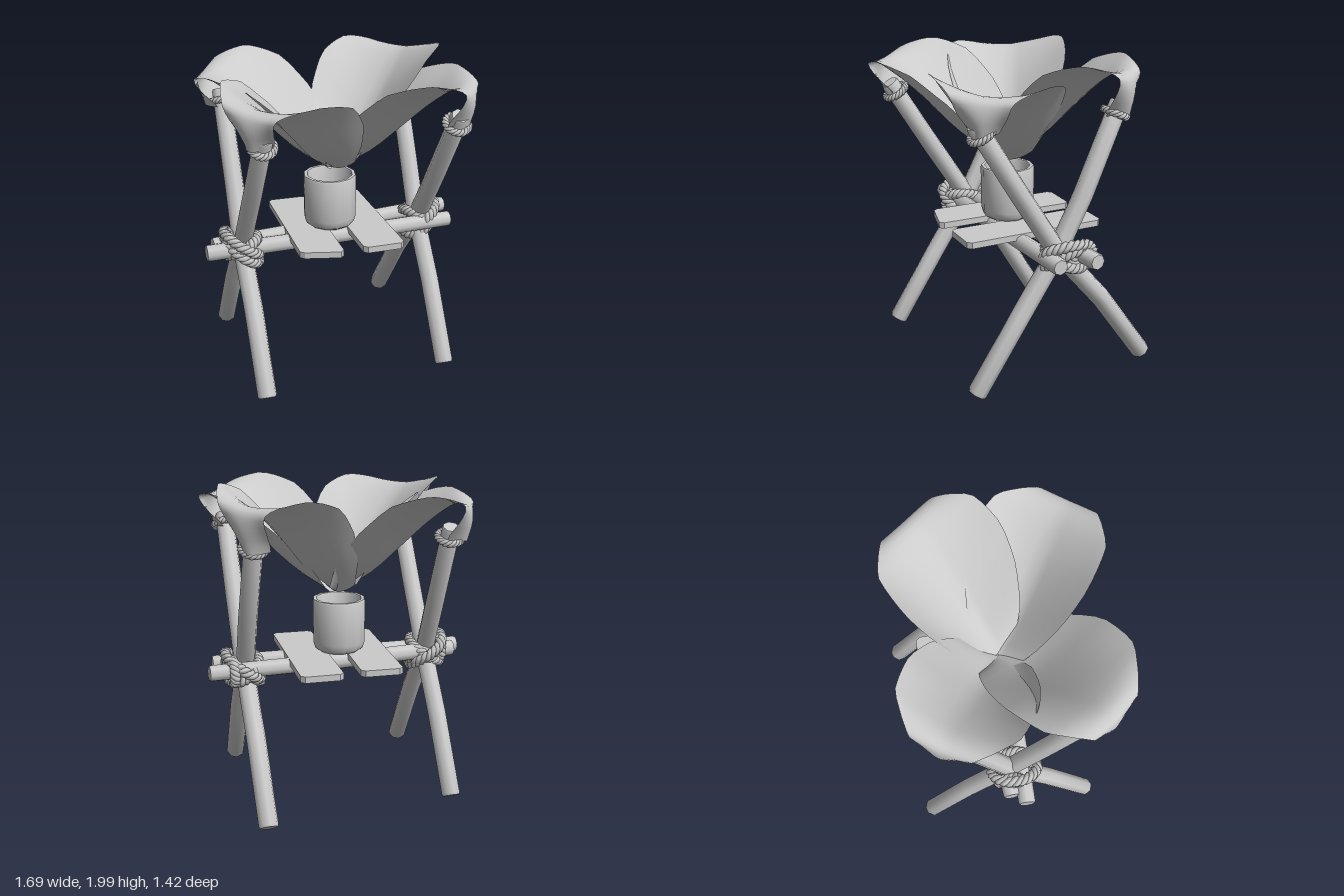
import * as THREE from 'three';
import { toCreasedNormals } from 'three/addons/utils/BufferGeometryUtils.js';

const V = (x, y, z) => new THREE.Vector3(x, y, z);
const grey = new THREE.MeshStandardMaterial({ color: 0xcccccc });
const thin = new THREE.MeshStandardMaterial({ color: 0xcccccc, side: THREE.DoubleSide });

// Skin a list of cross-sections (rows of points)
function loft(rows) {
  const n = rows[0].length, idx = [];
  for (let i = 0; i < rows.length - 1; i++) {
    for (let j = 0; j < n - 1; j++) {
      const a = i * n + j, c = a + n;
      idx.push(a, a + 1, c, a + 1, c + 1, c);
    }
  }
  const g = new THREE.BufferGeometry().setFromPoints(rows.flat());
  g.setIndex(idx);
  g.computeVertexNormals();
  return g;
}

export function createModel() {
  const model = new THREE.Group();
  const add = (name, geometry, material = grey, parent = model) => {
    const m = new THREE.Mesh(geometry, material);
    m.name = name;
    parent.add(m);
    return m;
  };

  // Eight-sided bent pole with chamfered, closed ends
  function pole(name, pts, radius, side) {
    const n = 8, last = pts.length - 1, rows = [];
    const ring = (i, r, shift = 0) => {
      const t = pts[Math.min(i + 1, last)].clone().sub(pts[Math.max(i - 1, 0)]).normalize();
      const u = side.clone().addScaledVector(t, -side.dot(t)).normalize();
      const v = t.clone().cross(u);
      const c = pts[i].clone().addScaledVector(t, shift);
      rows.push(Array.from({ length: n + 1 }, (_, j) => {
        const a = (j / n) * Math.PI * 2;
        return c.clone().addScaledVector(u, r * Math.cos(a)).addScaledVector(v, r * Math.sin(a));
      }));
    };
    ring(0, 0);
    ring(0, radius * 0.9);
    ring(0, radius, 0.015);
    for (let i = 1; i < last; i++) ring(i, radius);
    ring(last, radius * 0.96, -0.015);
    ring(last, radius * 0.86);
    ring(last, 0);
    add(name, toCreasedNormals(loft(rows), 0.9));
  }

  // Closed ring of three twisted strands around the ellipse c + a*u, b*v
  function ropeRing(name, c, u, v, a, b, thick, turns) {
    const g = new THREE.Group();
    g.name = name;
    model.add(g);
    const w = u.clone().cross(v).normalize();
    for (let k = 0; k < 3; k++) {
      const pts = [];
      for (let i = 0; i < 90; i++) {
        const th = (i / 90) * Math.PI * 2, ph = turns * th + (k * Math.PI * 2) / 3;
        const cs = Math.cos(th), sn = Math.sin(th), e = thick * Math.cos(ph);
        pts.push(c.clone().addScaledVector(u, (a + e) * cs).addScaledVector(v, (b + e) * sn)
          .addScaledVector(w, thick * Math.sin(ph)));
      }
      add('strand', new THREE.TubeGeometry(new THREE.CatmullRomCurve3(pts, true), 110, thick, 5, true), grey, g);
    }
  }

  // Crossed legs on both sides, with a rope tie near each top
  const X = V(1, 0, 0);
  for (const s of [-1, 1]) {
    const x = 0.6 * s, foot = s > 0 ? -0.66 : -0.56;
    const toFront = [V(x, 0.045, foot), V(x, 0.5, foot * 0.5), V(x, 0.88, 0), V(x, 1.25, 0.24), V(x, 1.72, 0.535)];
    const toBack = [V(x + (s > 0 ? -0.025 : -0.02), 0.04, 0.53), V(x - 0.01, 0.5, 0.235), V(x - 0.01, 0.86, -0.01),
      V(x, 1.2, -0.18), V(x, 1.74, -0.42)];
    pole('frontTopLeg', toFront, 0.061, X);
    pole('backTopLeg', toBack, 0.061, X);
    for (const p of [toFront, toBack]) {
      const t = p[4].clone().sub(p[3]).normalize();
      const c = p[4].clone().addScaledVector(t, -0.075);
      ropeRing('topTie', c, X, t.clone().cross(X), 0.071, 0.071, 0.012, 6);
    }

    // Lashing: slanted rings around the crossing of legs and beams
    const cz = s > 0 ? -0.05 : 0.01, c = V(0.615 * s, 0.85, cz);
    const lash = (off, slope, zTilt, a, b) => ropeRing('lashing', c.clone().add(off),
      V(s, slope, 0).normalize(), V(0, zTilt, 1).normalize(), a, b, 0.018, 8);
    lash(V(0, 0.015, 0), 0.7, 0.05, 0.13, 0.145);
    lash(V(0, -0.025, 0), 0.7, -0.2, 0.125, 0.135);
    lash(V(0, -0.005, 0), -0.55, 0.25, 0.11, 0.125);
    ropeRing('beamLashing', V(0.69 * s, 0.855, s > 0 ? -0.13 : -0.03), V(0, 1, 0), V(0, 0, 1), 0.07, 0.07, 0.017, 6);
  }

  // Two horizontal beams
  pole('frontBeam', [V(-0.85, 0.845, 0.055), V(0, 0.845, 0.07), V(0.785, 0.85, 0.08)], 0.054, V(0, 1, 0));
  pole('backBeam', [V(-0.79, 0.85, -0.03), V(0, 0.848, -0.085), V(0.84, 0.86, -0.14)], 0.054, V(0, 1, 0));

  // Two shelf planks with clipped corners, the front edge cut at a slight skew
  function plank(x, z, length, yaw, skew) {
    const w = 0.132, l = length / 2, k = 0.025;
    const shape = new THREE.Shape([[-w + k, -l + skew], [w - k, -l], [w, -l + k], [w, l - k], [w - k, l], [-w + k, l],
      [-w, l - k], [-w, -l + skew + k]].map(p => new THREE.Vector2(...p)));
    const g = new THREE.ExtrudeGeometry(shape, { depth: 0.04, bevelEnabled: false });
    g.rotateX(-Math.PI / 2);
    const m = add('plank', g);
    m.position.set(x, 0.865, z);
    m.rotation.y = yaw;
  }
  plank(-0.185, -0.03, 0.92, -0.06, 0.05);
  plank(0.2, -0.03, 0.93, -0.04, 0);

  // Open bucket
  const profile = [[0, 0], [0.13, 0], [0.155, 0.018], [0.168, 0.06], [0.17, 0.325], [0.165, 0.338], [0.145, 0.338],
    [0.14, 0.325], [0.135, 0.05], [0, 0.05]].map(p => new THREE.Vector2(...p));
  add('bucket', toCreasedNormals(new THREE.LatheGeometry(profile, 12), 0.7), thin).position.set(-0.02, 0.905, -0.01);

  // Leaves: trough rising outward, folded over the leg top and gathered at the tie
  const rib = [], rim = [];
  // radius, rib height, half width, rim height
  for (const [r, y, w, e] of [
    [0.005, 1.285, 0.16, 1.35], [0.07, 1.32, 0.24, 1.50], [0.24, 1.42, 0.34, 1.71], [0.45, 1.61, 0.385, 1.88],
    [0.65, 1.79, 0.365, 1.935], [0.79, 1.875, 0.26, 1.915], [0.87, 1.86, 0.18, 1.87], [0.89, 1.77, 0.14, 1.77],
    [0.86, 1.65, 0.085, 1.66]]) {
    rib.push(V(r, y, 0));
    rim.push(V(w, e, 0));
  }
  const ribCurve = new THREE.CatmullRomCurve3(rib), rimCurve = new THREE.CatmullRomCurve3(rim);
  function leaf(name, tipX, tipZ, lift, sway) {
    const L = Math.hypot(tipX, tipZ), dx = tipX / L, dz = tipZ / L, rows = [];
    for (let i = 0; i <= 24; i++) {
      const t = i / 24, a = ribCurve.getPoint(t), b = rimCurve.getPoint(t), row = [];
      const wrap = 0.11 * THREE.MathUtils.smoothstep(t, 0.72, 1), swell = Math.sin(Math.PI * t);
      for (let j = -6; j <= 6; j++) {
        const u = j / 6, k = Math.abs(u);
        // One flank lies inside its neighbour, the other spreads beneath the next leaf
        const bend = u > 0 ? 1.1 : 2, spread = 1 - 0.07 * Math.sign(u) * swell;
        const r = a.x * (L / 0.87) - wrap * k * k, s = b.x * u * spread + sway * swell;
        const y = THREE.MathUtils.lerp(a.y, b.y, k ** bend) + (lift + 0.02 * u) * swell;
        row.push(V(dx * r - dz * s, y, dz * r + dx * s));
      }
      rows.push(row);
    }
    add(name, loft(rows), thin);
  }
  leaf('frontRightLeaf', -0.69, 0.54, 0, 0);
  leaf('frontLeftLeaf', 0.67, 0.54, 0, 0);
  leaf('backRightLeaf', -0.71, -0.43, 0, 0);
  leaf('backLeftLeaf', 0.66, -0.46, 0.045, 0.05);

  return model;
}
